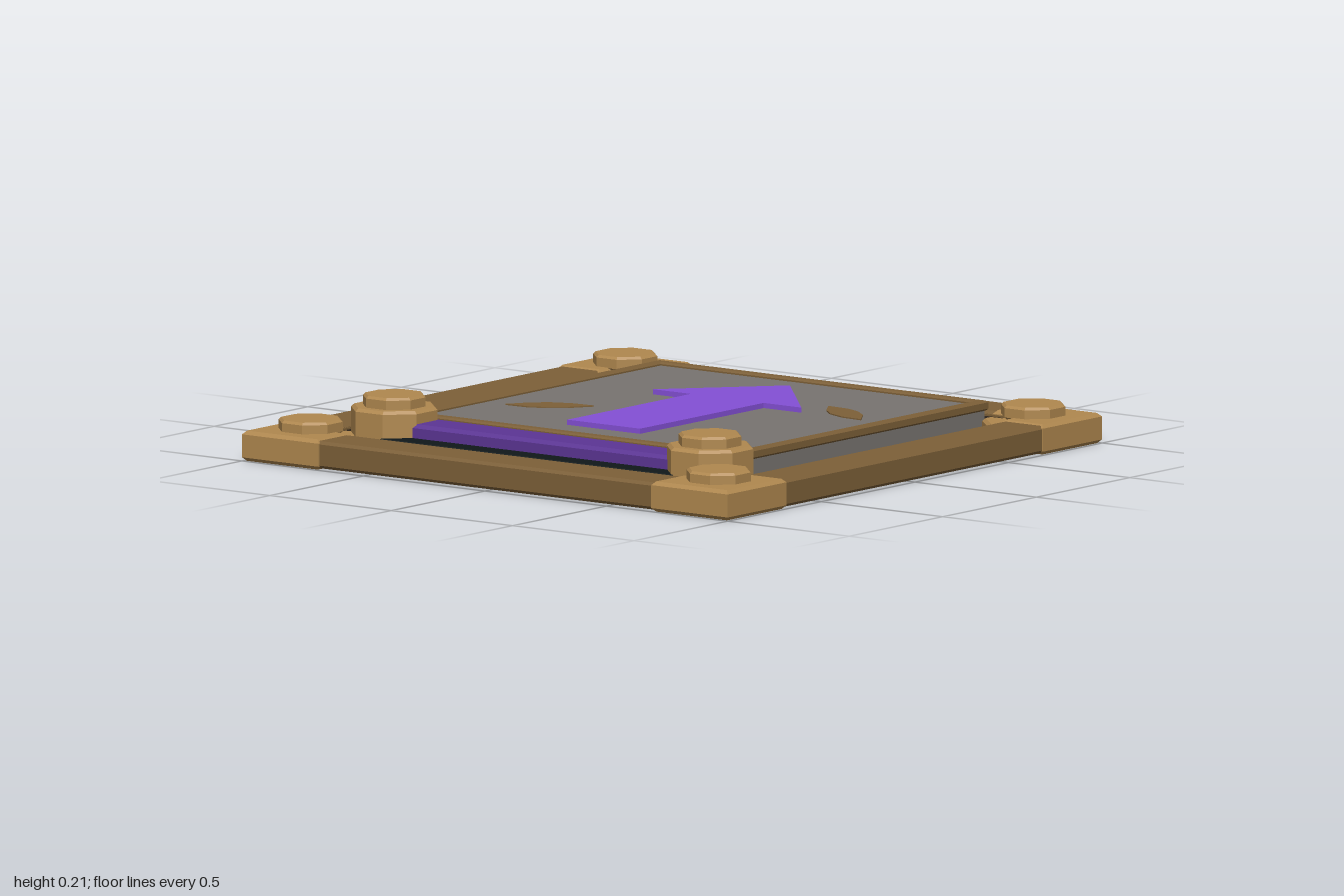
import * as THREE from 'three';

const mat = (color) => new THREE.MeshStandardMaterial({ color, flatShading: true });
const WOOD = mat(0x7d6038), TAN = mat(0xb0884f), STONE = mat(0x787470);
const ARROW = mat(0x8450d6), ROLLER = mat(0x5c3595), BLACK = mat(0x10181a), DARK = mat(0x2b2117);

// Plan outline of [x, z] points raised from y0 to y1, with bevelled edges
function plate(name, points, y0, y1, bevel, material) {
  const shape = new THREE.Shape(points.map(([x, z]) => new THREE.Vector2(x, z)));
  const geo = new THREE.ExtrudeGeometry(shape, {
    depth: y1 - y0 - 2 * bevel, bevelEnabled: bevel > 0, bevelThickness: bevel,
    bevelSize: bevel, bevelOffset: -bevel, bevelSegments: 1,
  });
  geo.rotateX(Math.PI / 2).translate(0, y1 - bevel, 0);
  const mesh = new THREE.Mesh(geo, material);
  mesh.name = name;
  return mesh;
}

const rect = (x0, x1, z0, z1) => [[x0, z0], [x1, z0], [x1, z1], [x0, z1]];

// Octagon with flat sides facing the axes; r is the distance to a side
function octagon(cx, cz, r) {
  const R = r / Math.cos(Math.PI / 8);
  return Array.from({ length: 8 }, (_, i) => {
    const a = (i + 0.5) * Math.PI / 4;
    return [cx + R * Math.cos(a), cz + R * Math.sin(a)];
  });
}

export function createModel() {
  const model = new THREE.Group();
  model.name = 'arrowFloorPanel';

  // Outer frame: four beams, each with a dark inner lip
  for (let i = 0; i < 4; i++) {
    const side = new THREE.Group();
    side.name = 'frameSide';
    side.add(plate('frameBeam', rect(-0.8, 0.8, 0.83, 0.995), 0.005, 0.095, 0.01, WOOD));
    side.add(plate('innerLip', rect(-0.74, 0.74, 0.805, 0.835), 0.012, 0.08, 0.004, DARK));
    side.add(plate('lipEdge', rect(-0.74, 0.74, 0.815, 0.822), 0.012, 0.086, 0, WOOD));
    side.rotation.y = i * Math.PI / 2;
    model.add(side);
  }

  // Frame corners with a diagonal bracket and an octagonal bolt
  for (const sx of [-1, 1]) for (const sz of [-1, 1]) {
    const corner = new THREE.Group();
    corner.name = 'frameCorner';
    const at = (pts) => pts.map(([x, z]) => [x * sx, z * sz]);
    corner.add(plate('cornerBlock', at([
      [1, 1], [0.685, 1], [0.685, 0.825], [0.74, 0.825], [0.825, 0.74], [0.825, 0.685], [1, 0.685],
    ]), 0, 0.1, 0.012, TAN));
    corner.add(plate('cornerBracket', at([
      [0.85, 0.85], [0.68, 0.85], [0.68, 0.775], [0.775, 0.685], [0.85, 0.685],
    ]), 0.015, 0.08, 0.01, TAN));
    corner.add(plate('cornerBolt', octagon(0.84 * sx, 0.84 * sz, 0.1), 0.09, 0.137, 0.008, TAN));
    model.add(corner);
  }

  // Central stone panel and its wooden rim
  model.add(plate('stonePanel', rect(-0.67, 0.67, -0.8, 0.54), 0.02, 0.122, 0.012, STONE));
  for (const s of [-1, 1]) {
    const x = 0.66 * s;
    model.add(plate('rimSide', rect(x - 0.018, x + 0.018, -0.8, 0.53), 0.1, 0.133, 0.006, WOOD));
  }
  model.add(plate('rimBack', rect(-0.678, 0.678, -0.81, -0.772), 0.1, 0.133, 0.006, WOOD));
  model.add(plate('rimFront', rect(-0.678, 0.678, 0.505, 0.545), 0.1, 0.133, 0.006, WOOD));

  // Front roller strip over a dark tray
  model.add(plate('rollerTray', rect(-0.61, 0.61, 0.535, 0.785), 0.02, 0.085, 0.01, BLACK));
  model.add(plate('roller', rect(-0.56, 0.56, 0.565, 0.705), 0.07, 0.13, 0.012, ROLLER));

  // Octagonal posts at the ends of the roller
  for (const s of [-1, 1]) {
    const post = new THREE.Group();
    post.name = 'rollerPost';
    post.add(plate('postBase', octagon(0.65 * s, 0.64, 0.135), 0.02, 0.173, 0.01, TAN));
    post.add(plate('postCap', octagon(0.65 * s, 0.64, 0.098), 0.16, 0.211, 0.008, TAN));
    model.add(post);
  }

  // Arrow pointing to the back
  model.add(plate('arrow', [
    [0, -0.63], [0.305, -0.295], [0.15, -0.295], [0.15, 0.365],
    [-0.15, 0.365], [-0.15, -0.295], [-0.305, -0.295],
  ], 0.11, 0.139, 0, ARROW));

  // Two leaf-shaped inlays
  const leaf = [[0.305, -0.44], [0.39, -0.435], [0.45, -0.41], [0.505, -0.365],
    [0.555, -0.29], [0.47, -0.297], [0.4, -0.325], [0.35, -0.37]];
  model.add(plate('leafRight', leaf, 0.11, 0.126, 0, WOOD));
  model.add(plate('leafLeft', leaf.map(([x, z]) => [-0.86 + x, -z - 0.27]).map(([x, z]) => [x, z]), 0.11, 0.126, 0, WOOD));

  return model;
}
